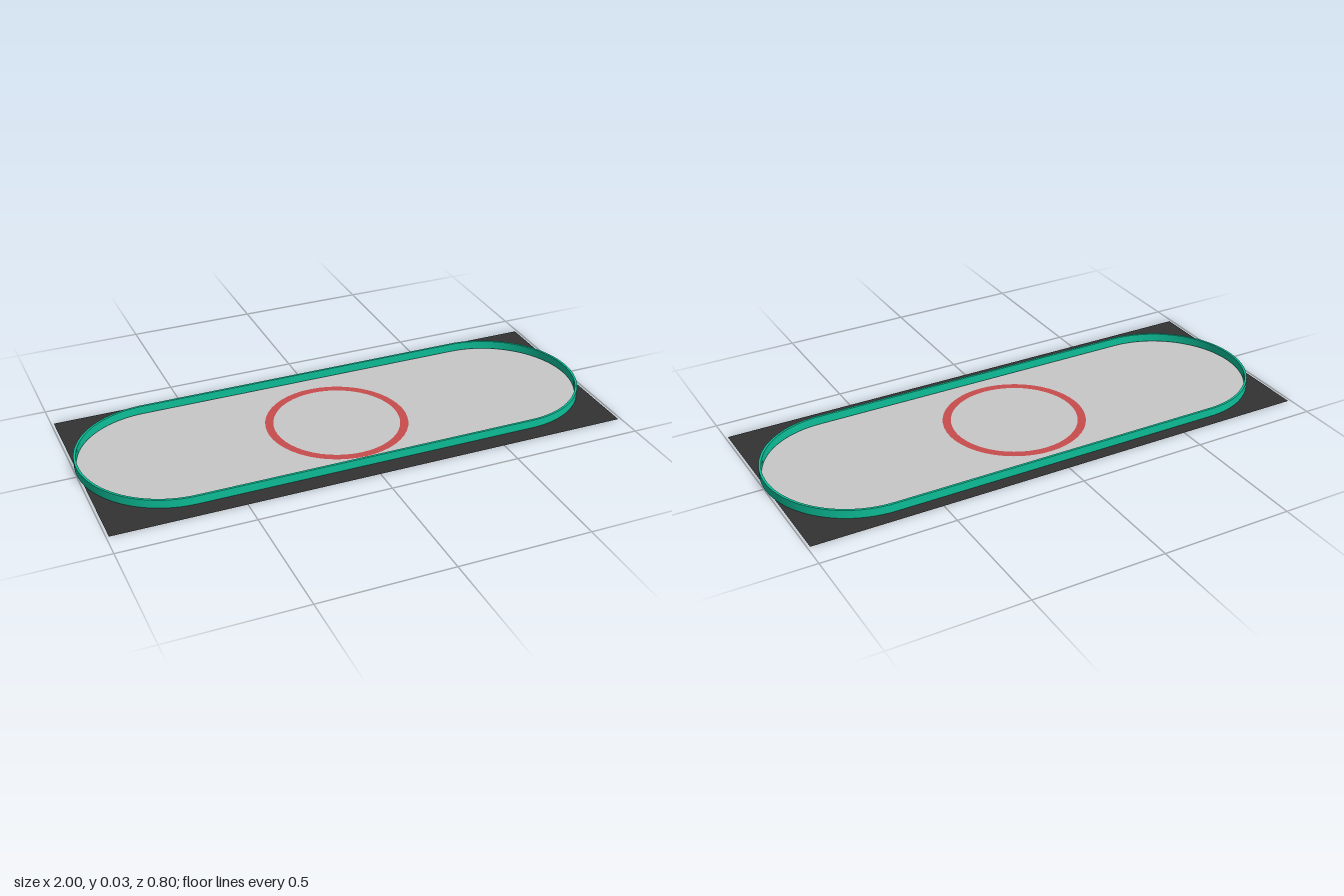
import * as THREE from 'three';
import { toCreasedNormals } from 'three/addons/utils/BufferGeometryUtils.js';

const CAP_X = 0.658;   // centre of each rounded end
const OFFSET = 0.01;   // the rink sits slightly towards the back
const SEGMENTS = 24;

function flatMaterial(name, color) {
  const m = new THREE.MeshStandardMaterial({ color, side: THREE.DoubleSide });
  m.name = name;
  return m;
}

// Straight-sided outline with semicircular ends
function stadium(target, r) {
  target.moveTo(-CAP_X, OFFSET - r);
  target.lineTo(CAP_X, OFFSET - r);
  target.absarc(CAP_X, OFFSET, r, -Math.PI / 2, Math.PI / 2, false);
  target.absarc(-CAP_X, OFFSET, r, Math.PI / 2, Math.PI * 1.5, false);
  return target;
}

function circle(target, r) {
  return target.absarc(0, 0, r, 0, Math.PI * 2, false);
}

export function createModel() {
  const group = new THREE.Group();
  const charcoal = flatMaterial('charcoal', 0x333333);
  const ice = flatMaterial('paleGrey', 0xc8c8c8);
  const red = flatMaterial('red', 0xc84c4c);
  const teal = flatMaterial('teal', 0x0cbf98);

  const add = (name, geometry, material) => {
    geometry.rotateX(-Math.PI / 2);
    const mesh = new THREE.Mesh(geometry, material);
    mesh.name = name;
    group.add(mesh);
    return mesh;
  };

  // Ground sheet, cut out around the playing surface
  const ground = new THREE.Shape();
  ground.moveTo(-0.99, -0.4);
  ground.lineTo(0.99, -0.4);
  ground.lineTo(0.99, 0.4);
  ground.lineTo(-0.99, 0.4);
  ground.closePath();
  ground.holes.push(stadium(new THREE.Path(), 0.331));
  add('groundSheet', new THREE.ShapeGeometry(ground, SEGMENTS), charcoal);

  // Playing surface with an opening for the painted ring
  const surface = stadium(new THREE.Shape(), 0.331);
  const opening = circle(new THREE.Path(), 0.271);
  surface.holes.push(opening);
  add('playingSurface', new THREE.ShapeGeometry(surface, SEGMENTS), ice);
  add('centreDisc', new THREE.CircleGeometry(0.24, SEGMENTS * 2), ice);

  // Painted centre ring
  add('centreRing', new THREE.RingGeometry(0.24, 0.271, SEGMENTS * 2), red);

  // Low wall around the playing surface
  const wall = stadium(new THREE.Shape(), 0.34);
  wall.holes.push(stadium(new THREE.Path(), 0.331));
  const wallGeometry = new THREE.ExtrudeGeometry(wall, {
    depth: 0.032, bevelEnabled: false, curveSegments: SEGMENTS,
  });
  add('boundaryWall', toCreasedNormals(wallGeometry, 0.5), teal).position.y = 0.001;

  return group;
}
